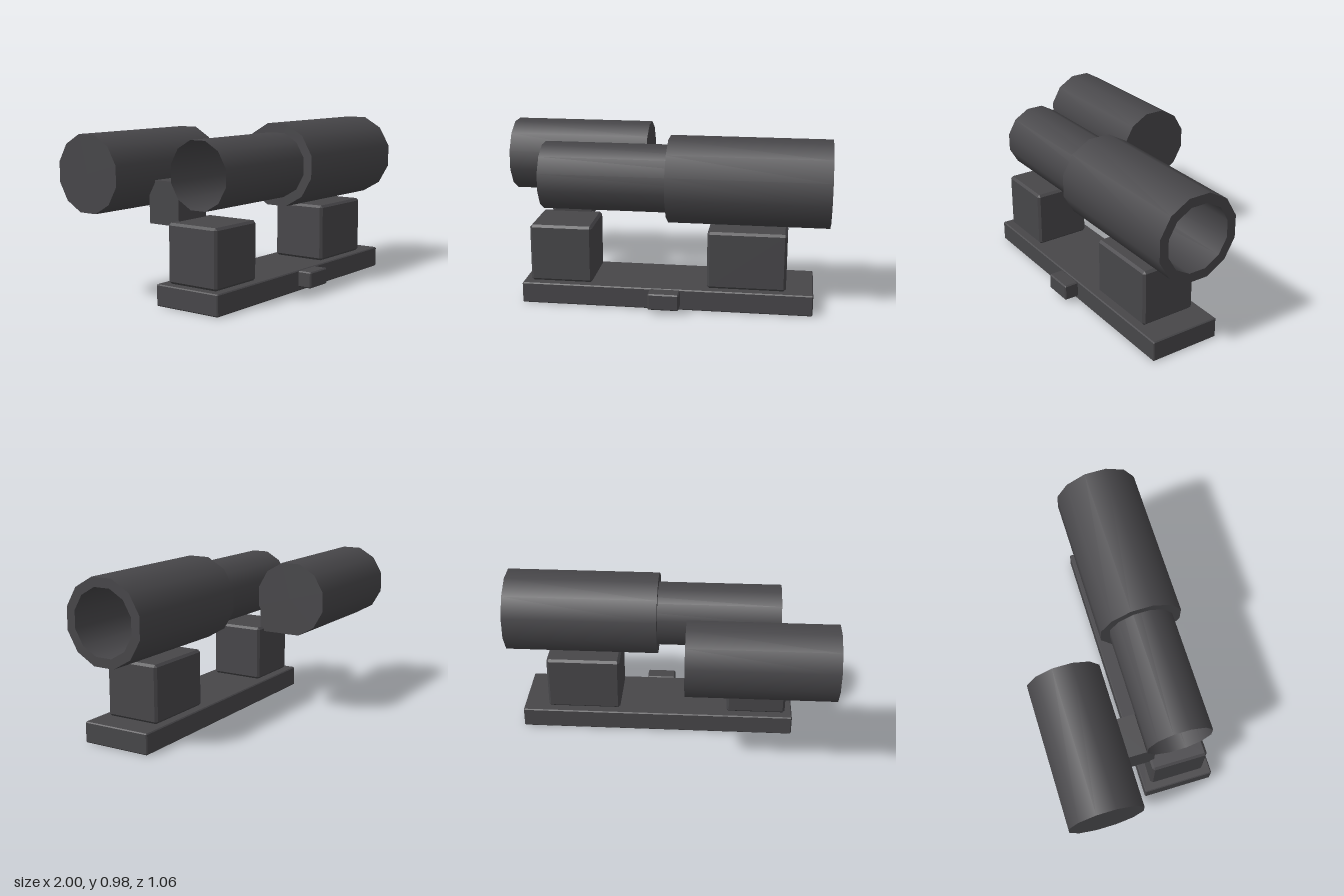
import * as THREE from 'three';
import { ConvexGeometry } from 'three/addons/geometries/ConvexGeometry.js';

const gunmetal = new THREE.MeshStandardMaterial({ color: 0x474649, side: THREE.DoubleSide });
gunmetal.name = 'dark gunmetal';

const SIDES = 12;
const TURN = Math.PI / SIDES; // puts a flat side on top

function addMesh(parent, name, geometry) {
  const mesh = new THREE.Mesh(geometry, gunmetal);
  mesh.name = name;
  parent.add(mesh);
  return mesh;
}

// Box with chamfered edges, given by its extents
function chamferBox([x0, x1], [y0, y1], [z0, z1], c) {
  const half = [(x1 - x0) / 2, (y1 - y0) / 2, (z1 - z0) / 2];
  const points = [];
  for (const sx of [-1, 1]) for (const sy of [-1, 1]) for (const sz of [-1, 1]) {
    for (let axis = 0; axis < 3; axis++) {
      const p = half.map((h, i) => (i === axis ? h : h - c));
      points.push(new THREE.Vector3(sx * p[0], sy * p[1], sz * p[2]));
    }
  }
  return new ConvexGeometry(points).translate((x0 + x1) / 2, (y0 + y1) / 2, (z0 + z1) / 2);
}

// Twelve-sided tube along x
function tube(radius, x0, x1, open) {
  return new THREE.CylinderGeometry(radius, radius, x1 - x0, SIDES, 1, open, TURN)
    .rotateZ(-Math.PI / 2)
    .translate((x0 + x1) / 2, 0, 0);
}

// Flat end ring facing +x (dir 1) or -x (dir -1)
function endRing(inner, outer, x, dir) {
  return new THREE.RingGeometry(inner, outer, SIDES, 1, TURN)
    .rotateY(dir * Math.PI / 2)
    .translate(x, 0, 0);
}

export function createModel() {
  const model = new THREE.Group();
  model.name = 'opticSight';

  // Base rail, side button and two mounting blocks
  addMesh(model, 'base', chamferBox([-0.795, 0.918], [0, 0.125], [0.003, 0.437], 0.006));
  addMesh(model, 'sideButton', chamferBox([-0.03, 0.15], [0.028, 0.125], [0.438, 0.53], 0.007));
  addMesh(model, 'rearMount', chamferBox([-0.75, -0.38], [0.125, 0.47], [0.05, 0.392], 0.014));
  addMesh(model, 'frontMount', chamferBox([0.3, 0.76], [0.125, 0.47], [0.05, 0.392], 0.014));

  // Main tube: thin inner tube with a thicker front sleeve, open right through
  const scope = new THREE.Group();
  scope.name = 'mainTube';
  scope.position.set(0, 0.736, 0.22);
  addMesh(scope, 'innerTube', tube(0.2, -0.69, 1, true));
  addMesh(scope, 'frontSleeve', tube(0.257, 0.06, 1, true));
  addMesh(scope, 'sleeveFrontRim', endRing(0.2, 0.257, 1, 1));
  addMesh(scope, 'sleeveRearRim', endRing(0.2, 0.257, 0.06, -1));
  model.add(scope);

  // Closed side cylinder
  const side = addMesh(model, 'sideCylinder', tube(0.226, -1, -0.13, false));
  side.position.set(0, 0.738, -0.313);

  // Bracket joining the tubes, trimmed to the main tube's wall (profile in z, y)
  const profile = new THREE.Shape([
    [0.072, 0.44], [0.077, 0.446], [0.077, 0.594], [0.027, 0.683], [0.024, 0.69],
    [-0.133, 0.69], [-0.139, 0.684], [-0.139, 0.446], [-0.133, 0.44],
  ].map(([z, y]) => new THREE.Vector2(-z, y)));
  const bracket = new THREE.ExtrudeGeometry(profile, { depth: 0.24, bevelEnabled: false })
    .rotateY(Math.PI / 2)
    .translate(-0.685, 0, 0);
  addMesh(model, 'sideBracket', bracket);

  return model;
}
